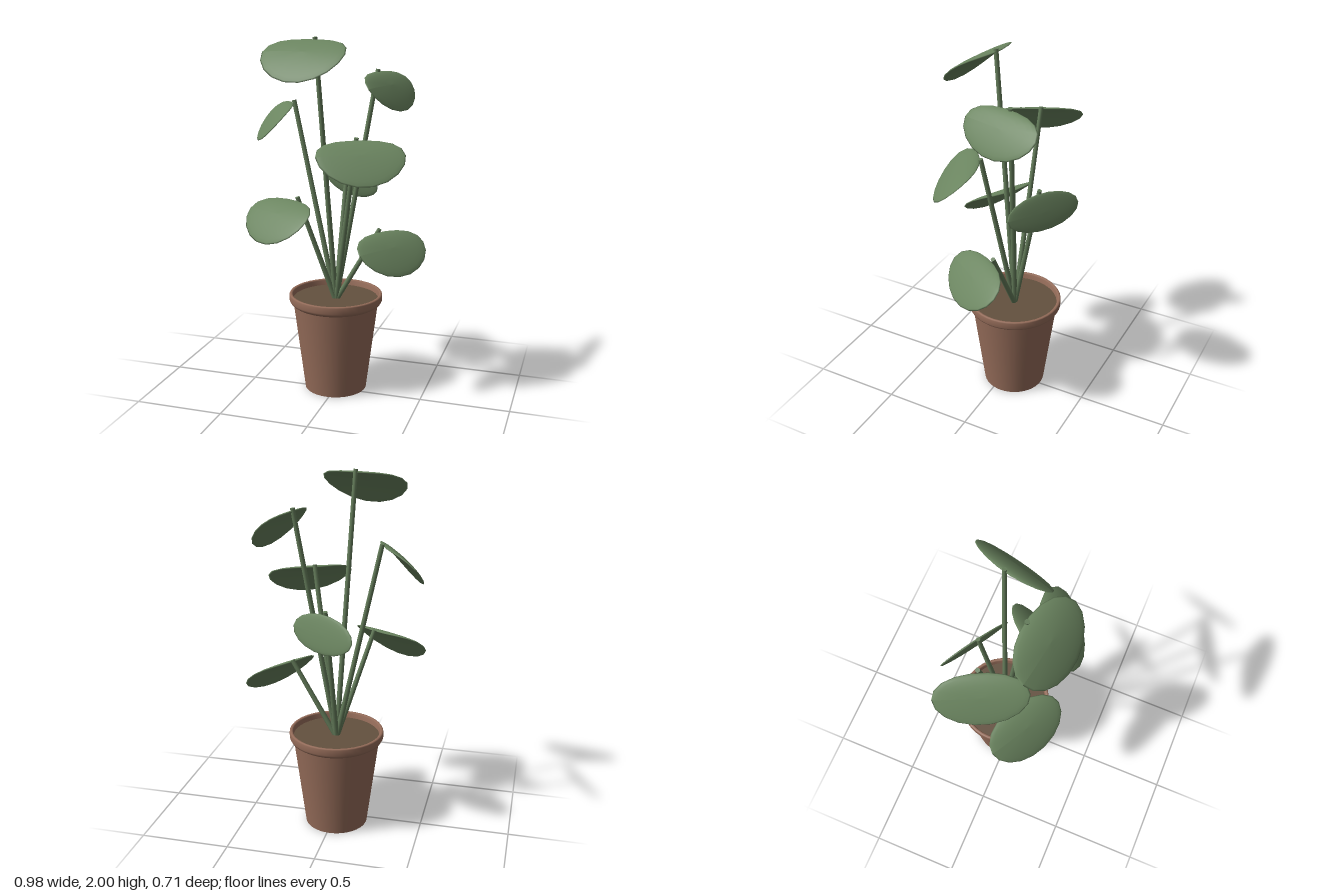
import * as THREE from 'three';

const mat = (name, color) => {
  const m = new THREE.MeshStandardMaterial({ color });
  m.name = name;
  return m;
};

// One row per stalk: stem tip, leaf centre (x, z), outward direction (x, z),
// half width, half reach in plan, and droop power (1 = straight).
const STALKS = [
  { tip: [-0.08, 2.0, 0.10], mid: [-0.105, 0.22], dir: [-0.14, 0.99], a: 0.238, h: 0.133, p: 1.7 },
  { tip: [0.20, 1.825, -0.13], mid: [0.275, -0.11], dir: [0.965, 0.262], a: 0.235, h: 0.085, p: 1.5 },
  { tip: [-0.262, 1.65, -0.075], mid: [-0.355, -0.02], dir: [-0.9, 0.44], a: 0.24, h: 0.1, p: 1.5 },
  { tip: [0.14, 1.48, 0.075], mid: [0.197, 0.19], dir: [0.445, 0.895], a: 0.238, h: 0.125, p: 1.7 },
  { tip: [0.01, 1.305, -0.205], mid: [0.02, -0.235], dir: [0.53, -0.85], a: 0.222, h: 0.024, p: 1 },
  { tip: [-0.2, 1.135, 0.06], mid: [-0.27, 0.185], dir: [-0.47, 0.88], a: 0.23, h: 0.12, p: 1.7 },
  { tip: [0.24, 0.96, -0.048], mid: [0.33, 0.02], dir: [0.83, 0.555], a: 0.235, h: 0.105, p: 1.5 },
];
const DROP = 0.2, THICK = 0.012;
const ROOT = new THREE.Vector3(-0.013, 0.52, -0.05);

// Thin rounded leaf: a flattened sphere laid along a drooping curve
function leafGeometry({ tip, mid, dir, a, h, p }) {
  const geo = new THREE.SphereGeometry(1, 18, 12);
  const pos = geo.attributes.position;
  const fwd = new THREE.Vector3(dir[0], 0, dir[1]).normalize();
  const side = new THREE.Vector3(fwd.z, 0, -fwd.x);
  const v = new THREE.Vector3(), n = new THREE.Vector3();
  for (let i = 0; i < pos.count; i++) {
    const x = pos.getX(i), y = pos.getY(i), z = pos.getZ(i);
    const s = Math.min(1, Math.max(0, (z + 1) / 2));
    n.copy(fwd).multiplyScalar(DROP * p * Math.pow(s, p - 1));
    n.y = 2 * h;
    n.normalize();
    v.set(mid[0], tip[1] - 0.015 - DROP * Math.pow(s, p), mid[1])
      .addScaledVector(side, a * x)
      .addScaledVector(fwd, h * z)
      .addScaledVector(n, THICK * y);
    pos.setXYZ(i, v.x, v.y, v.z);
  }
  geo.computeVertexNormals();
  return geo;
}

export function createModel() {
  const model = new THREE.Group();
  model.name = 'pottedPlant';
  const clay = mat('terracotta', 0x966d5a);
  const soilMat = mat('soil', 0x64513f);
  const leafMat = mat('leafGreen', 0x6b8560);
  const stemMat = mat('stemGreen', 0x647c5a);

  const add = (parent, name, geo, material) => {
    const mesh = new THREE.Mesh(geo, material);
    mesh.name = name;
    parent.add(mesh);
    return mesh;
  };
  const lathe = (pts) =>
    new THREE.LatheGeometry(pts.map(([x, y]) => new THREE.Vector2(x, y)), 40);

  // Pot: tapered wall, rounded rim, base and soil
  const pot = new THREE.Group();
  pot.name = 'pot';
  pot.position.set(ROOT.x, 0, ROOT.z);
  model.add(pot);
  add(pot, 'potWall', lathe([[0.176, 0], [0.242, 0.52]]), clay);
  add(pot, 'potRim', lathe([
    [0.24, 0.505], [0.257, 0.517], [0.264, 0.53], [0.264, 0.562],
    [0.26, 0.568], [0.25, 0.568], [0.245, 0.562], [0.24, 0.52],
  ]), clay);
  add(pot, 'potBase', new THREE.CircleGeometry(0.176, 40).rotateX(Math.PI / 2), clay);
  add(pot, 'soil', new THREE.CircleGeometry(0.244, 28).rotateX(-Math.PI / 2), soilMat)
    .position.y = 0.535;

  // Stalks: straight stem from the soil with a leaf hung at its tip
  const up = new THREE.Vector3(0, 1, 0);
  for (const stalk of STALKS) {
    const group = new THREE.Group();
    group.name = 'stalk';
    model.add(group);
    const tip = new THREE.Vector3(...stalk.tip);
    const span = tip.clone().sub(ROOT);
    const stem = add(group, 'stem',
      new THREE.CylinderGeometry(0.0125, 0.015, span.length(), 10), stemMat);
    stem.position.copy(ROOT).addScaledVector(span, 0.5);
    stem.quaternion.setFromUnitVectors(up, span.normalize());
    add(group, 'leaf', leafGeometry(stalk), leafMat);
  }
  return model;
}
